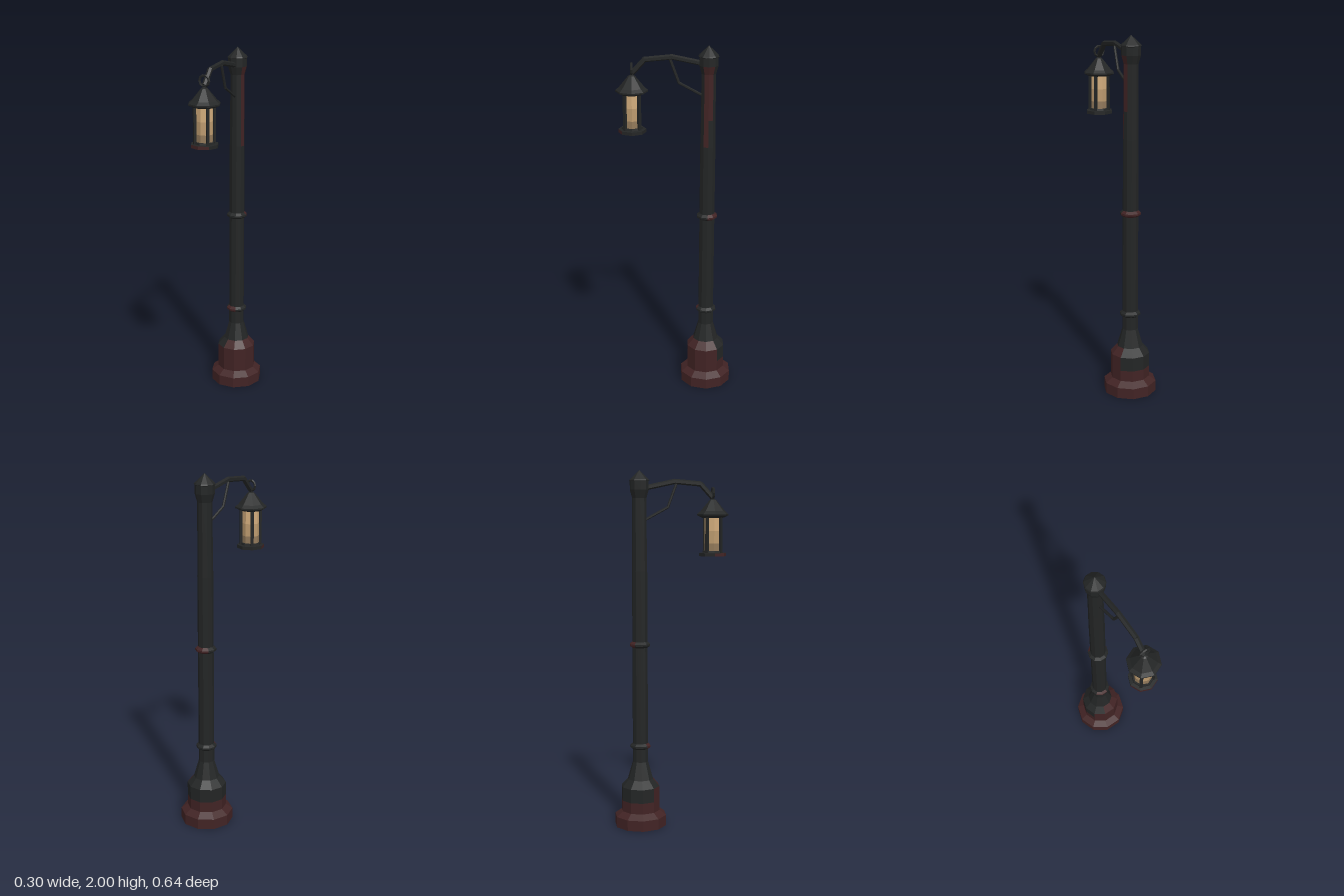
import * as THREE from 'three';

const mat = (name, color) => {
  const m = new THREE.MeshStandardMaterial({ color });
  m.name = name;
  return m;
};
const DEG = Math.PI / 180;
const POST_Z = -0.18, LAMP_Z = 0.23;

// Give every face its own flat normal
function faceted(geo) {
  const g = geo.index ? geo.toNonIndexed() : geo;
  g.computeVertexNormals();
  return g;
}

export function createModel() {
  const model = new THREE.Group();
  const iron = mat('dark iron', 0x232525);
  const rust = mat('rust', 0x412324);
  const glassTop = mat('warm glass', 0xd2ac7c);
  const glassMid = mat('shaded glass', 0xbc9a6e);
  const glassLow = mat('sooty glass', 0x92795a);

  const add = (parent, name, geo, material) => {
    const m = new THREE.Mesh(faceted(geo), material);
    m.name = name;
    parent.add(m);
    return m;
  };

  // Turned part over an angle range (0 = front, 90 = left side), profile bottom to top
  const turned = (parent, name, profile, material, sides = 10, from = 90, to = 450) => {
    const pts = profile.map(([r, y]) => new THREE.Vector2(r, y));
    const segs = Math.round((to - from) / (360 / sides));
    return add(parent, name, new THREE.LatheGeometry(pts, segs, from * DEG, (to - from) * DEG), material);
  };
  // The same profile with one rusty sector and the rest iron
  const patchy = (parent, name, profile, from, to, sides = 10) => {
    turned(parent, name + 'Rust', profile, rust, sides, from, to);
    turned(parent, name, profile, iron, sides, to, from + 360);
  };
  // Straight rod between two [y, z] points
  const rod = (parent, name, a, b, r, extend) => {
    const p = new THREE.Vector3(0, a[0], a[1]), q = new THREE.Vector3(0, b[0], b[1]);
    const dir = q.clone().sub(p), len = dir.length();
    const m = add(parent, name, new THREE.CylinderGeometry(r, r, len + extend * 2, 6), iron);
    m.position.copy(p).add(q).multiplyScalar(0.5);
    m.quaternion.setFromUnitVectors(new THREE.Vector3(0, 1, 0), dir.normalize());
  };

  // Post
  const post = new THREE.Group();
  post.name = 'post';
  post.position.z = POST_Z;
  model.add(post);
  turned(post, 'foot', [[0, 0], [0.148, 0], [0.148, 0.06], [0.11, 0.088]], rust);
  turned(post, 'lowerDrum', [[0.11, 0.088], [0.11, 0.15]], rust);
  patchy(post, 'upperDrum', [[0.11, 0.15], [0.11, 0.228]], -54, 126);
  patchy(post, 'drumShoulder', [[0.11, 0.228], [0.073, 0.27]], -18, 126);
  turned(post, 'flare', [[0.073, 0.27], [0.044, 0.37]], iron);
  turned(post, 'shaft', [[0.044, 0.37], [0.043, 1.45]], iron);
  patchy(post, 'middleShaft', [[0.043, 1.45], [0.041, 1.6]], 54, 90);
  patchy(post, 'upperShaft', [[0.041, 1.6], [0.04, 1.85]], 54, 126);
  patchy(post, 'headNeck', [[0.04, 1.85], [0.053, 1.895]], 54, 126);
  turned(post, 'head', [[0.053, 1.895], [0.053, 1.94], [0.057, 1.943], [0.053, 1.95], [0, 2]], iron);

  // Collars round the shaft
  const collar = y => [[0.042, y - 0.018], [0.058, y - 0.006], [0.058, y + 0.004], [0.042, y + 0.018]];
  patchy(post, 'lowerCollar', collar(0.46), -54, 18);
  patchy(post, 'upperCollar', collar(1.04), 90, 234);

  // Bent arm and its brace
  const arm = new THREE.Group();
  arm.name = 'arm';
  model.add(arm);
  const armPath = [[1.902, -0.16], [1.94, 0.016], [1.927, 0.16], [1.855, 0.226]];
  const bracePath = [[1.925, 0.024], [1.80, -0.022], [1.73, -0.15]];
  armPath.slice(1).forEach((p, i) => rod(arm, 'armSegment', armPath[i], p, 0.0145, 0.003));
  bracePath.slice(1).forEach((p, i) => rod(arm, 'braceSegment', bracePath[i], p, 0.0075, 0.002));

  // Lantern
  const lantern = new THREE.Group();
  lantern.name = 'lantern';
  lantern.position.z = LAMP_Z;
  model.add(lantern);
  const ring = add(lantern, 'hangingRing', new THREE.TorusGeometry(0.028, 0.007, 5, 10), iron);
  ring.position.y = 1.878;
  turned(lantern, 'roof', [[0, 1.742], [0.06, 1.742], [0.088, 1.755], [0.088, 1.763],
    [0.07, 1.778], [0.018, 1.84], [0, 1.85]], iron, 8);

  // Glass in three tones, darker towards the bottom
  [[1.55, 1.6, glassLow], [1.6, 1.67, glassMid], [1.67, 1.745, glassTop]].forEach(([a, b, m]) =>
    turned(lantern, 'glass', [[0.047, a], [0.047, b]], m, 8));

  // Four corner bars
  for (let i = 0; i < 4; i++) {
    const a = (45 + i * 90) * DEG;
    const bar = add(lantern, 'cornerBar', new THREE.BoxGeometry(0.016, 0.2, 0.014), iron);
    bar.position.set(Math.sin(a) * 0.054, 1.648, Math.cos(a) * 0.054);
    bar.rotation.y = a;
  }

  // Floor plate
  turned(lantern, 'floorUnderside', [[0, 1.53], [0.076, 1.53]], rust, 8);
  patchy(lantern, 'floorPlate', [[0.076, 1.53], [0.076, 1.548]], -90, 45, 8);
  turned(lantern, 'floorTop', [[0.076, 1.548], [0.058, 1.55], [0.056, 1.56], [0, 1.56]], iron, 8);

  return model;
}
